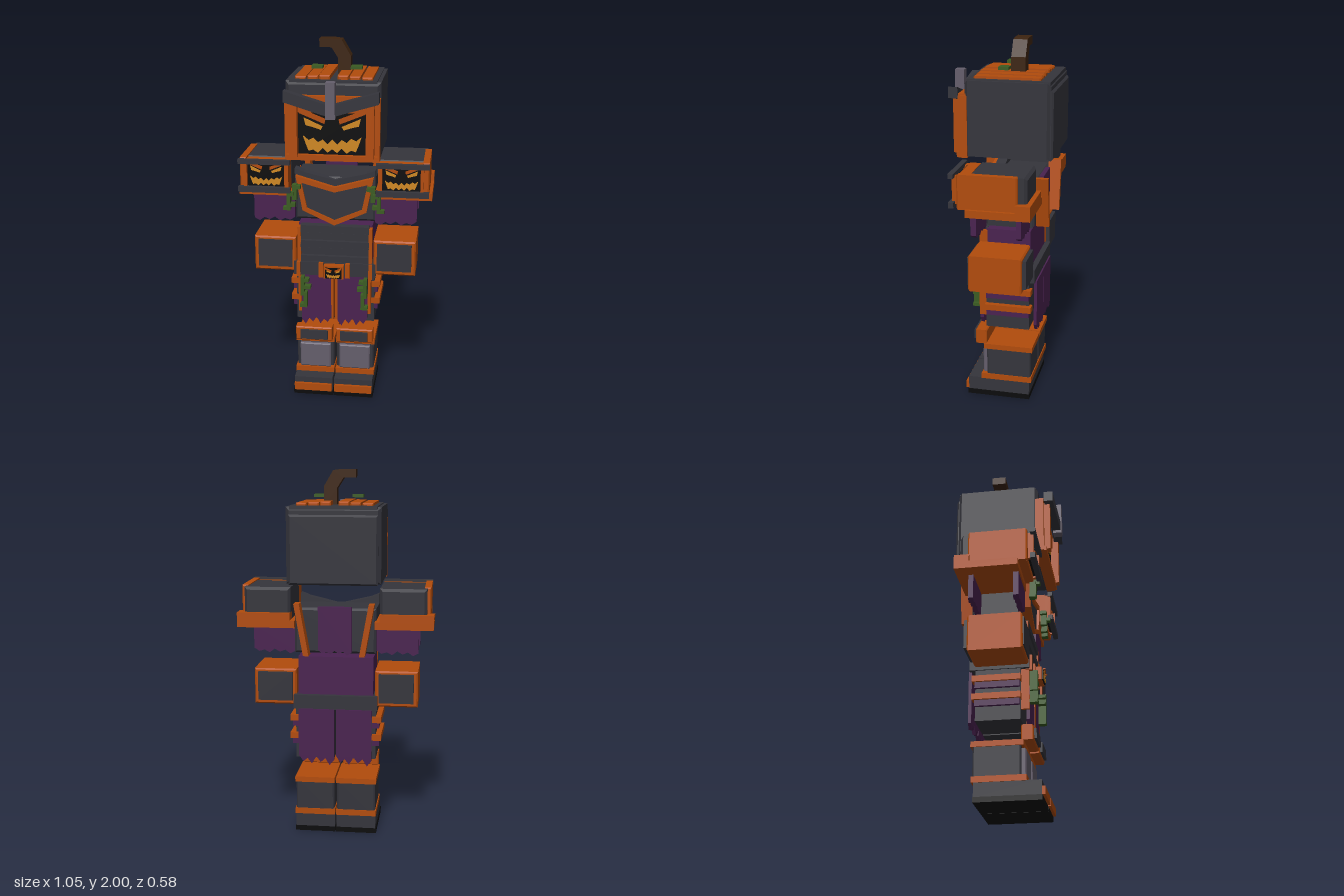
import * as THREE from 'three';

const M = {};
for (const [name, hex] of Object.entries({
  orange: 0xb24c0c, darkSteel: 0x35353c, purpleCloth: 0x4a2250, greySteel: 0x655e6c,
  amber: 0xcf8822, black: 0x0b0b0c, brown: 0x3d2410, green: 0x3b5c22,
})) {
  M[name] = new THREE.MeshStandardMaterial({ color: hex });
  M[name].name = name;
}
const { orange, darkSteel: dark, purpleCloth: purple, greySteel: grey, amber, black, brown, green } = M;

export function createModel() {
  const root = new THREE.Group();
  root.name = 'pumpkinKnight';
  let group = root;
  const part = (name) => {
    group = new THREE.Group();
    group.name = name;
    root.add(group);
  };
  const add = (name, mat, geo) => {
    const mesh = new THREE.Mesh(geo, mat);
    mesh.name = name;
    group.add(mesh);
    return mesh;
  };
  // flat shape pulled from z0 to z1
  const plate = (name, mat, pts, z0, z1, hole) => {
    const s = new THREE.Shape(pts.map((p) => new THREE.Vector2(...p)));
    if (hole) s.holes.push(new THREE.Path(hole.map((p) => new THREE.Vector2(...p))));
    const g = new THREE.ExtrudeGeometry(s, { depth: z1 - z0, bevelEnabled: false });
    return add(name, mat, g.translate(0, 0, z0));
  };
  // box by its limits; c chamfers the edges, slopes shear it along x
  const box = (name, mat, x0, x1, y0, y1, z0, z1, c = 0, slopeY = 0, slopeZ = 0) => {
    if (x0 > x1) [x0, x1] = [x1, x0];
    let g;
    if (c) {
      const s = new THREE.Shape();
      const w = (x1 - x0) / 2 - c, h = (y1 - y0) / 2 - c;
      s.moveTo(-w, -h).lineTo(w, -h).lineTo(w, h).lineTo(-w, h);
      g = new THREE.ExtrudeGeometry(s, { depth: z1 - z0 - 2 * c, bevelThickness: c, bevelSize: c, bevelSegments: 1 });
      g.translate((x0 + x1) / 2, (y0 + y1) / 2, z0 + c);
    } else {
      g = new THREE.BoxGeometry(x1 - x0, y1 - y0, z1 - z0);
      g.translate((x0 + x1) / 2, (y0 + y1) / 2, (z0 + z1) / 2);
    }
    if (slopeY || slopeZ) {
      const p = g.attributes.position;
      for (let i = 0; i < p.count; i++) {
        const d = Math.abs(p.getX(i));
        p.setXYZ(i, p.getX(i), p.getY(i) + d * slopeY, p.getZ(i) + d * slopeZ);
      }
      g.computeVertexNormals();
    }
    return add(name, mat, g);
  };
  const pair = (name, mat, x0, x1, ...rest) => {
    box(name + 'Left', mat, x0, x1, ...rest);
    box(name + 'Right', mat, -x0, -x1, ...rest);
  };
  // cloth with a torn lower edge
  const cloth = (name, x0, x1, top, bottom, z0, z1, tear) => {
    const drops = [0.5, 1, 0.35, 0.75, 0.2, 0.9, 0.4, 0.7, 0.1];
    const n = drops.length - 1;
    const pts = drops.map((d, i) => [x0 + ((x1 - x0) * i) / n, bottom + tear * (1 - d)]);
    plate(name, purple, [...pts, [x1, top], [x0, top]], z0, z1);
  };
  // glowing carved face, 0.36 wide at scale 1
  const carvedFace = (cx, cy, z, k) => {
    const at = (pts, s = 1) => pts.map(([x, y]) => [cx + s * x * k, cy + y * k]);
    box('facePanel', black, cx - 0.18 * k, cx + 0.18 * k, cy - 0.115 * k, cy + 0.125 * k, z - 0.009, z);
    const half = [[0.155, -0.01], [0.125, -0.035], [0.1, -0.022], [0.075, -0.045], [0.05, -0.03], [0.025, -0.055], [0, -0.03]];
    const low = [[0.025, -0.1], [0.05, -0.075], [0.075, -0.102], [0.1, -0.085], [0.125, -0.092], [0.14, -0.055]];
    const flip = (a) => a.map(([x, y]) => [-x, y]).reverse();
    plate('mouth', amber, at([...half, ...flip(half).slice(1), ...flip(low), [0, -0.08], ...low]), z, z + 0.006);
    for (const s of [1, -1]) {
      plate('eye', amber, at([[0.05, 0.04], [0.15, 0.085], [0.14, 0.045], [0.1, 0.035], [0.06, 0.022]], s), z, z + 0.006);
      plate('eyebrow', orange, at([[0.04, 0.055], [0.175, 0.11], [0.175, 0.135], [0.035, 0.08]], s), z, z + 0.012);
    }
  };

  // helmet
  part('head');
  box('helmet', dark, -0.25, 0.25, 1.41, 1.81, -0.275, 0.18, 0.018);
  box('helmetBackPlate', dark, -0.235, 0.235, 1.405, 1.77, -0.287, -0.26, 0.01);
  box('crown', dark, -0.23, 0.23, 1.79, 1.815, -0.27, 0.17);
  for (const [i, x] of [0.02, 0.082, 0.147].entries())
    pair('crownRidge', orange, x, x + 0.057, 1.8, 1.836 - i * 0.004, -0.215, 0.14, 0.007);
  plate('stem', brown, [[0, 1.81], [0.07, 1.81], [0.07, 1.91], [0.02, 1.995], [-0.02, 2], [-0.1, 2], [-0.1, 1.955], [-0.035, 1.955], [0, 1.9]], -0.107, -0.03);
  pair('leaf', green, 0.075, 0.135, 1.85, 1.866, -0.03, 0.025);

  // face frame and brow
  part('face');
  pair('frameOuterSide', orange, 0.222, 0.25, 1.4, 1.73, 0.165, 0.212);
  pair('frameInnerSide', orange, 0.18, 0.222, 1.42, 1.72, 0.17, 0.245);
  box('frameBottom', orange, -0.24, 0.24, 1.4, 1.43, 0.165, 0.225);
  box('frameTop', orange, -0.24, 0.24, 1.655, 1.74, 0.165, 0.212);
  carvedFace(0, 1.54, 0.2, 1);
  pair('browGuard', dark, 0, 0.247, 1.645, 1.705, 0.235, 0.285, 0, 0.28, -0.085);
  box('browHorn', grey, -0.025, 0.025, 1.635, 1.825, 0.238, 0.289);

  // shoulders, sleeves and forearms
  for (const s of [1, -1]) {
    part(s > 0 ? 'leftArm' : 'rightArm');
    const b = (n, m, x0, x1, ...r) => box(n, m, s * x0, s * x1, ...r);
    b('shoulderBox', dark, 0.24, 0.49, 1.2, 1.38, -0.205, 0.1, 0.015);
    b('shoulderSide', orange, 0.475, 0.51, 1.2, 1.385, -0.16, 0.155, 0.007);
    b('shoulderFront', orange, 0.24, 0.49, 1.2, 1.375, 0.093, 0.152);
    b('shoulderLedge', orange, 0.215, 0.527, 1.165, 1.205, -0.23, 0.107);
    b('shoulderBackLedge', orange, 0.24, 0.527, 1.2, 1.245, -0.23, -0.15);
    b('shoulderTopBar', dark, 0.23, 0.512, 1.36, 1.385, 0.17, 0.198);
    b('shoulderLowBar', dark, 0.23, 0.512, 1.205, 1.235, 0.17, 0.198);
    b('faceFrameOuter', orange, 0.465, 0.482, 1.22, 1.37, 0.15, 0.185);
    b('faceFrameInner', orange, 0.24, 0.262, 1.22, 1.37, 0.15, 0.185);
    carvedFace(s * 0.364, 1.295, 0.162, 0.57);
    const [a, c] = s > 0 ? [0.22, 0.447] : [-0.447, -0.22];
    cloth('sleeveFront', a, c, 1.17, 1.015, 0.07, 0.1, 0.03);
    cloth('sleeveBack', a, c, 1.17, 1.015, -0.167, -0.14, 0.03);
    b('forearm', orange, 0.215, 0.447, 0.73, 0.928, -0.17, 0.118, 0.008);
    b('fist', dark, 0.235, 0.425, 0.755, 0.912, -0.19, 0.125);
    // vine beside the chest
    for (const [x, y, w, h] of [[0.2, 1.16, 0.025, 0.085], [0.22, 1.18, 0.035, 0.02], [0.235, 1.1, 0.02, 0.09], [0.21, 1.12, 0.04, 0.02], [0.245, 1.1, 0.03, 0.018], [0.18, 1.22, 0.03, 0.02]])
      b('vine', green, x, x + w, y, y + h, 0.13, 0.165);
    b('vineLeaf', green, 0.215, 0.245, 1.19, 1.21, 0.16, 0.185);
  }

  // chest
  part('torso');
  box('chest', dark, -0.22, 0.22, 1.025, 1.27, -0.19, 0.075, 0.012);
  const collar = [[-0.22, 1.2], [0.22, 1.2], [0.22, 1.32], [0.17, 1.3], [0, 1.26], [-0.17, 1.3], [-0.22, 1.32]];
  plate('collar', dark, collar, 0.04, 0.095);
  const rim = [[-0.212, 1.285], [0, 1.225], [0.212, 1.285], [0.175, 1.09], [0, 1.01], [-0.175, 1.09]].reverse();
  const inner = [[-0.18, 1.246], [0, 1.198], [0.18, 1.246], [0.15, 1.103], [0, 1.038], [-0.15, 1.103]];
  plate('breastplateRim', orange, rim, 0.07, 0.125, inner);
  plate('breastplate', dark, [...inner].reverse(), 0.07, 0.112);
  cloth('backCape', -0.09, 0.09, 1.28, 1.02, -0.215, -0.19, 0.03);
  for (const s of [1, -1])
    plate('backStrap', orange, [[s * 0.135, 1.02], [s * 0.165, 1.02], [s * 0.215, 1.3], [s * 0.185, 1.3]], -0.26, -0.19);

  // waist
  part('waist');
  box('abdomen', purple, -0.205, 0.205, 0.78, 1.0, -0.167, 0.075);
  for (let i = 0; i < 5; i++)
    box('waistSlat', dark, -0.19, 0.19, 0.785 + i * 0.044, 0.825 + i * 0.044, 0.07, i % 2 ? 0.105 : 0.115);
  pair('waistTrim', orange, 0.188, 0.207, 0.79, 0.99, 0.07, 0.115);
  box('belt', dark, -0.228, 0.228, 0.712, 0.79, -0.197, 0.122);
  pair('beltLoopInner', orange, 0.062, 0.087, 0.705, 0.79, 0.1, 0.135);
  pair('beltLoopOuter', orange, 0.19, 0.21, 0.705, 0.79, 0.1, 0.135);
  box('buckle', orange, -0.055, 0.055, 0.712, 0.785, 0.11, 0.165);
  carvedFace(0, 0.745, 0.172, 0.25);

  // legs
  for (const s of [1, -1]) {
    part(s > 0 ? 'leftLeg' : 'rightLeg');
    const b = (n, m, x0, x1, ...r) => box(n, m, s * x0, s * x1, ...r);
    b('thigh', dark, 0.008, 0.22, 0.43, 0.715, -0.165, 0.075);
    const [a, c] = s > 0 ? [0.018, 0.185] : [-0.185, -0.018];
    cloth('thighClothFront', a, c, 0.715, 0.41, 0.1, 0.118, 0.06);
    const [d, e] = s > 0 ? [0.005, 0.2] : [-0.2, -0.005];
    cloth('thighClothBack', d, e, 0.715, 0.4, -0.205, -0.188, 0.06);
    b('thighTrimInner', orange, 0.004, 0.018, 0.45, 0.715, 0.07, 0.122);
    b('thighTrimOuter', orange, 0.187, 0.203, 0.49, 0.715, 0.07, 0.118);
    for (const y of [0.64, 0.54]) {
      b('hipBand', orange, 0.2, 0.25, y, y + 0.033, -0.18, 0.078);
      b('hipCloth', purple, 0.2, 0.238, y - 0.033, y, -0.167, 0.072);
    }
    for (const [x, y, w, h] of [[0.165, 0.61, 0.02, 0.1], [0.14, 0.68, 0.04, 0.018], [0.15, 0.53, 0.02, 0.09], [0.15, 0.6, 0.035, 0.018], [0.165, 0.53, 0.025, 0.018], [0.13, 0.64, 0.04, 0.018]])
      b('legVine', green, x, x + w, y, y + h, 0.118, 0.16);

    // knee, shin and boot
    b('kneeGuard', orange, 0.012, 0.218, 0.318, 0.4, 0.075, 0.14, 0.006);
    b('kneePlate', dark, 0.035, 0.19, 0.332, 0.386, 0.13, 0.153);
    b('shin', dark, 0.008, 0.22, 0.1, 0.31, -0.175, 0.075, 0.008);
    b('shinTopTrim', orange, 0.004, 0.225, 0.29, 0.32, -0.185, 0.09);
    b('shinLowTrim', orange, 0.004, 0.225, 0.103, 0.135, -0.18, 0.105);
    b('shinPlate', grey, 0.025, 0.2, 0.135, 0.28, 0.07, 0.1, 0.006);
    b('boot', dark, 0.005, 0.222, 0.025, 0.105, -0.168, 0.18);
    b('toeCap', orange, 0.008, 0.22, 0.03, 0.072, 0.17, 0.197);
    b('sole', black, 0.002, 0.226, 0, 0.028, -0.17, 0.183);
  }
  // mirrored outlines are wound by ExtrudeGeometry itself, so every face points outward
  return root;
}
